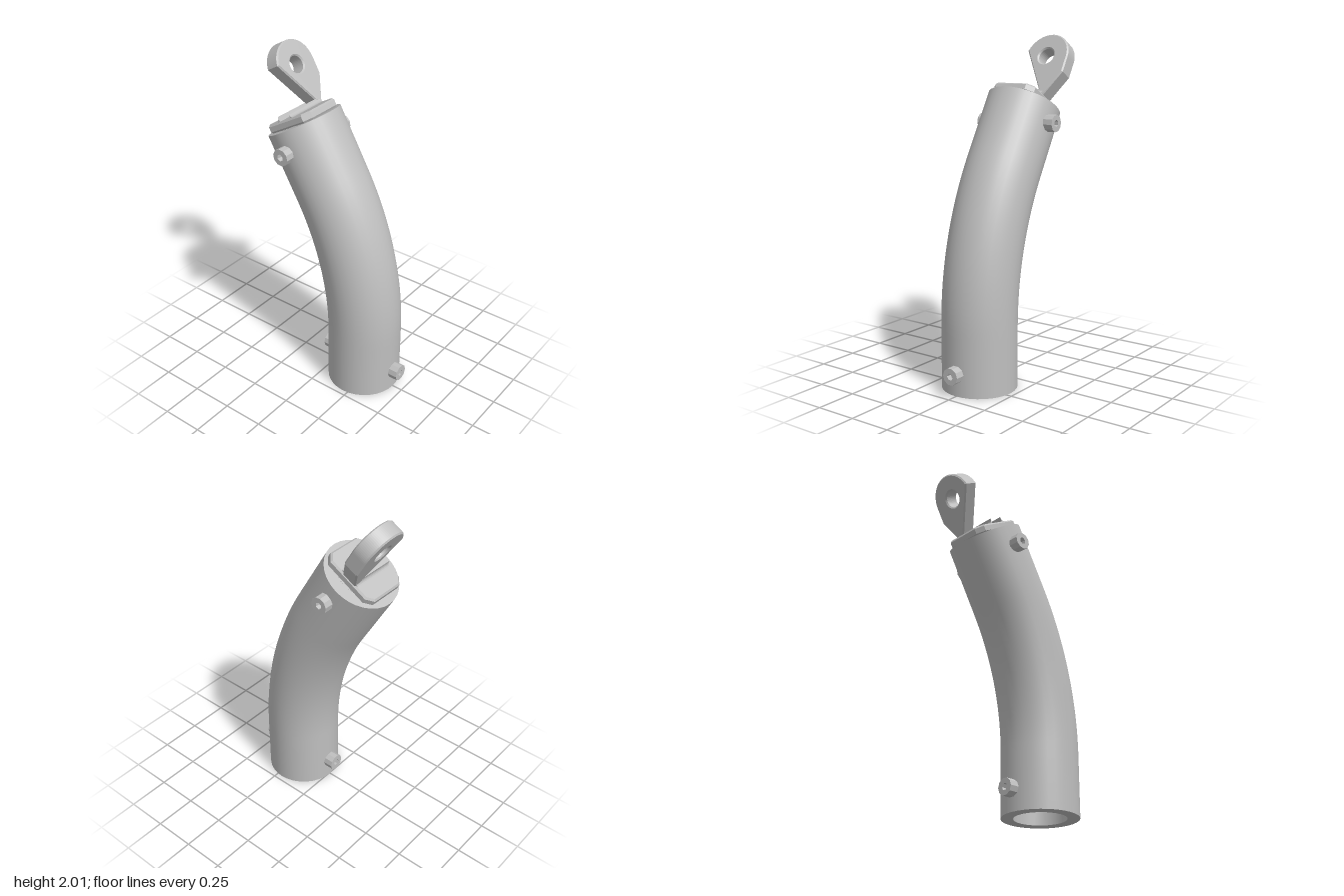
import * as THREE from 'three';
import { ParametricGeometry } from 'three/addons/geometries/ParametricGeometry.js';

const OUTER = 0.22, BORE = 0.15;
const BASE_X = 0.215, STRAIGHT = 0.36, BEND = 1.8, TILT = Math.PI / 6, END = 0.4;
const ARC = BEND * TILT, LENGTH = STRAIGHT + ARC + END;

// Centre line of the bent tube: straight, arc, straight
function station(s) {
  const a = THREE.MathUtils.clamp((s - STRAIGHT) / BEND, 0, TILT);
  const run = Math.max(0, s - STRAIGHT - ARC);
  return {
    a,
    x: BASE_X - BEND * (1 - Math.cos(a)) - run * Math.sin(a),
    y: Math.min(s, STRAIGHT) + BEND * Math.sin(a) + run * Math.cos(a),
  };
}

// Wall swept along the centre line; side = 1 faces out, -1 faces in
function tubeWall(radius, side) {
  return new ParametricGeometry((u, v, target) => {
    const c = station(v * LENGTH), t = u * Math.PI * 2;
    const r = radius * Math.cos(t);
    target.set(c.x + r * Math.cos(c.a), c.y + r * Math.sin(c.a), -side * radius * Math.sin(t));
  }, 32, 36);
}

function polygon(sides, radius, Type) {
  const points = [];
  for (let i = 0; i < sides; i++) {
    const t = (i / sides) * Math.PI * 2;
    points.push(new THREE.Vector2(radius * Math.cos(t), radius * Math.sin(t)));
  }
  return new Type(points);
}

export function createModel() {
  const steel = new THREE.MeshStandardMaterial({ color: 0xbfbfbf });
  steel.name = 'grey steel';
  const model = new THREE.Group();
  model.name = 'bentTubeWithLug';

  const add = (parent, name, geometry) => {
    const mesh = new THREE.Mesh(geometry, steel);
    mesh.name = name;
    parent.add(mesh);
    return mesh;
  };

  // Bent tube
  add(model, 'tubeOuterWall', tubeWall(OUTER, 1));
  add(model, 'tubeBore', tubeWall(BORE, -1));
  add(model, 'tubeBottomRim', new THREE.RingGeometry(BORE, OUTER, 32).rotateX(Math.PI / 2))
    .position.x = BASE_X;

  // Everything at the upper end sits in the tilted frame of the tube mouth
  const top = station(LENGTH);
  const head = new THREE.Group();
  head.name = 'upperEnd';
  head.position.set(top.x, top.y, 0);
  head.rotation.z = TILT;
  model.add(head);
  add(head, 'tubeTopRim', new THREE.RingGeometry(BORE, OUTER, 32).rotateX(-Math.PI / 2));
  add(head, 'plug', new THREE.CylinderGeometry(BORE, BORE, 0.25, 32)).position.y = -0.124;

  // Flange plate with cut corners
  const w = 0.165, d = 0.135, c = 0.035;
  const plate = new THREE.Shape([
    [w, -d + c], [w, d - c], [w - c, d], [-w + c, d],
    [-w, d - c], [-w, -d + c], [-w + c, -d], [w - c, -d],
  ].map((p) => new THREE.Vector2(...p)));
  add(head, 'flange', new THREE.ExtrudeGeometry(plate, {
    depth: 0.03, bevelThickness: 0.01, bevelSize: 0.01, bevelSegments: 1,
  }).rotateX(-Math.PI / 2)).position.y = 0.01;

  // Offset lug with a pin hole
  const R = 0.137, eyeX = 0.08, eyeY = 0.297, foot = 0.132;
  const dx = eyeX + foot, dy = eyeY - 0.04;
  const tangent = Math.atan2(dy, dx) + Math.asin(R / Math.hypot(dx, dy)) + Math.PI / 2;
  const lug = new THREE.Shape();
  lug.moveTo(-foot, 0.04);
  lug.absarc(eyeX, eyeY, R, tangent, 0, true);
  lug.lineTo(eyeX + R, 0.2);
  lug.lineTo(foot, 0.04);
  lug.closePath();
  lug.holes.push(new THREE.Path().absarc(eyeX, eyeY, 0.058, 0, Math.PI * 2, false));
  add(head, 'lug', new THREE.ExtrudeGeometry(lug, {
    depth: 0.079, bevelThickness: 0.008, bevelSize: 0.008, bevelSegments: 1, curveSegments: 20,
  }).translate(0, 0, -0.0415).rotateY(Math.PI / 2));

  // Fillets between lug and flange
  const f = 0.03;
  const fillet = new THREE.Shape();
  fillet.moveTo(0, 0);
  fillet.lineTo(f, 0);
  fillet.quadraticCurveTo(0, 0, 0, f);
  for (const side of [1, -1]) {
    const mesh = add(head, 'lugFillet', new THREE.ExtrudeGeometry(fillet, {
      depth: 0.27, bevelEnabled: false, curveSegments: 6,
    }).translate(0.044, 0.049, -0.135));
    mesh.rotation.y = side > 0 ? 0 : Math.PI;
  }

  // Socket screws, each pointing out along its own +z
  const ring = polygon(10, 0.05, THREE.Shape);
  ring.holes.push(polygon(6, 0.021, THREE.Path));
  const headGeometry = new THREE.ExtrudeGeometry(ring, { depth: 0.072, bevelEnabled: false });
  const shankGeometry = new THREE.CylinderGeometry(0.03, 0.03, 0.11, 12).rotateX(Math.PI / 2);
  const screw = (parent, name, x, y, turn) => {
    const group = new THREE.Group();
    group.name = name;
    group.position.set(x, y, 0);
    group.rotation.y = turn;
    add(group, 'screwHead', headGeometry).position.z = 0.2;
    add(group, 'screwShank', shankGeometry).position.z = 0.185;
    parent.add(group);
  };
  screw(model, 'lowerLeftScrew', BASE_X, 0.13, Math.PI / 2);
  screw(model, 'lowerRightScrew', BASE_X, 0.13, -Math.PI / 2);
  screw(head, 'upperFrontScrew', -0.012, -0.12, 0);
  screw(head, 'upperBackScrew', 0.012, -0.12, Math.PI);

  return model;
}
